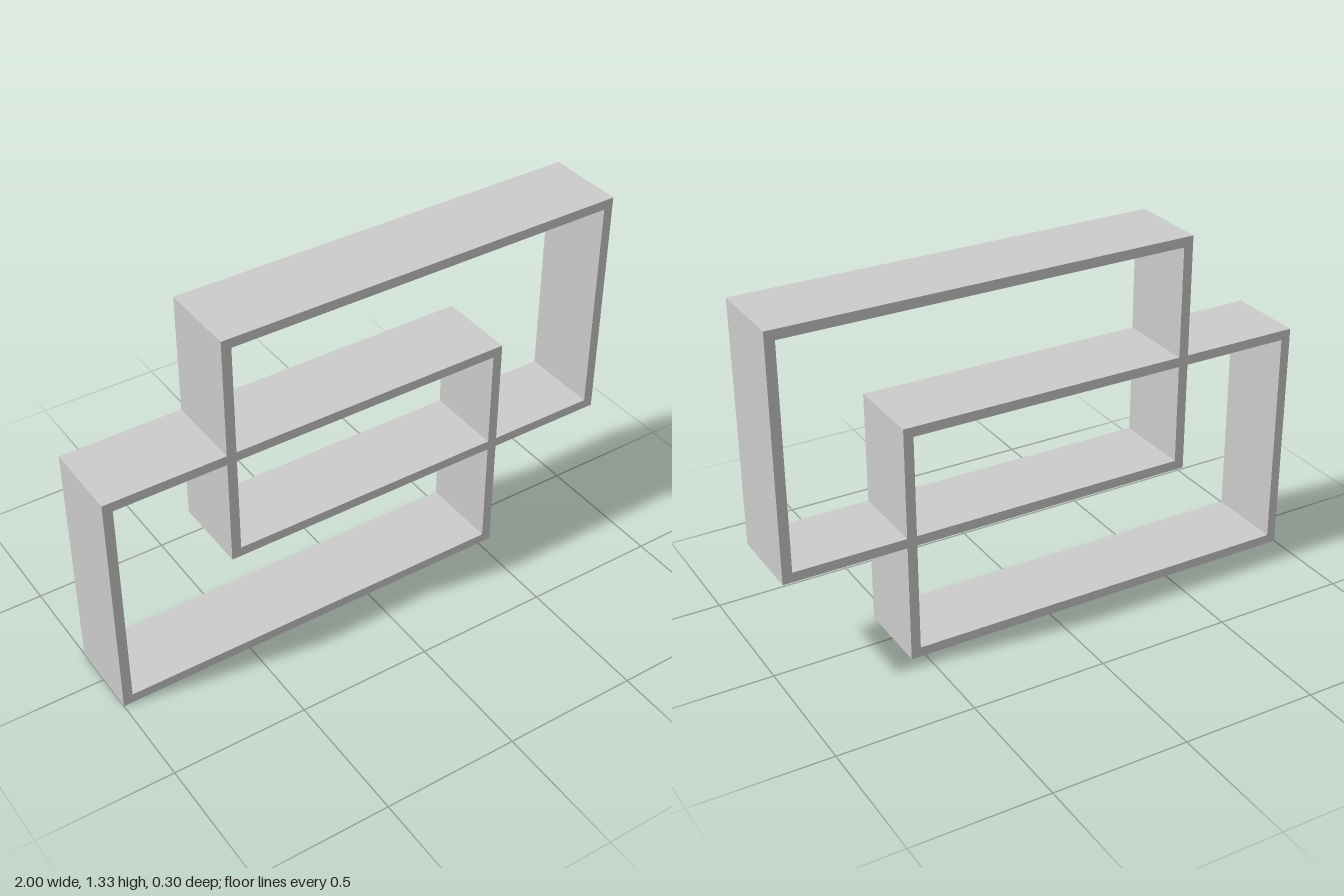
import * as THREE from 'three';

const STEP = 0.553;      // x of the edges where the two frames overlap
const LOW = 0.445;       // underside of the upper frame
const HIGH = 0.889;      // top of the lower frame
const H = LOW + HIGH;    // overall height
const T = 0.036;         // board thickness
const DEPTH = 0.296;

// Half-turn about the centre: swaps lower and upper frame
const halfTurn = (points) => points.map(([x, y]) => [-x, H - y]);
const toVectors = (points) => points.map(([x, y]) => new THREE.Vector2(x, y));

export function createModel() {
  const group = new THREE.Group();
  group.name = 'interlockedShelf';

  // Joint outline of both rectangular frames
  const lowerOutline = [[-1, HIGH], [-1, 0], [STEP, 0], [STEP, LOW]];
  const shape = new THREE.Shape(toVectors([...lowerOutline, ...halfTurn(lowerOutline)]));

  // L-shaped opening of the lower frame, its twin above, and the shared middle opening
  const lowerOpening = [
    [-1 + T, T], [STEP - T, T], [STEP - T, LOW],
    [-STEP, LOW], [-STEP, HIGH - T], [-1 + T, HIGH - T],
  ];
  const middleOpening = [
    [-STEP + T, LOW + T], [STEP - T, LOW + T],
    [STEP - T, HIGH - T], [-STEP + T, HIGH - T],
  ];
  for (const opening of [lowerOpening, halfTurn(lowerOpening), middleOpening]) {
    shape.holes.push(new THREE.Path(toVectors(opening)));
  }

  const geometry = new THREE.ExtrudeGeometry(shape, { depth: DEPTH, bevelEnabled: false });
  geometry.translate(0, 0, -DEPTH / 2);

  const frames = new THREE.Mesh(
    geometry,
    new THREE.MeshStandardMaterial({ color: 0xcccccc, flatShading: true }),
  );
  frames.name = 'interlockedFrames';
  group.add(frames);
  return group;
}
